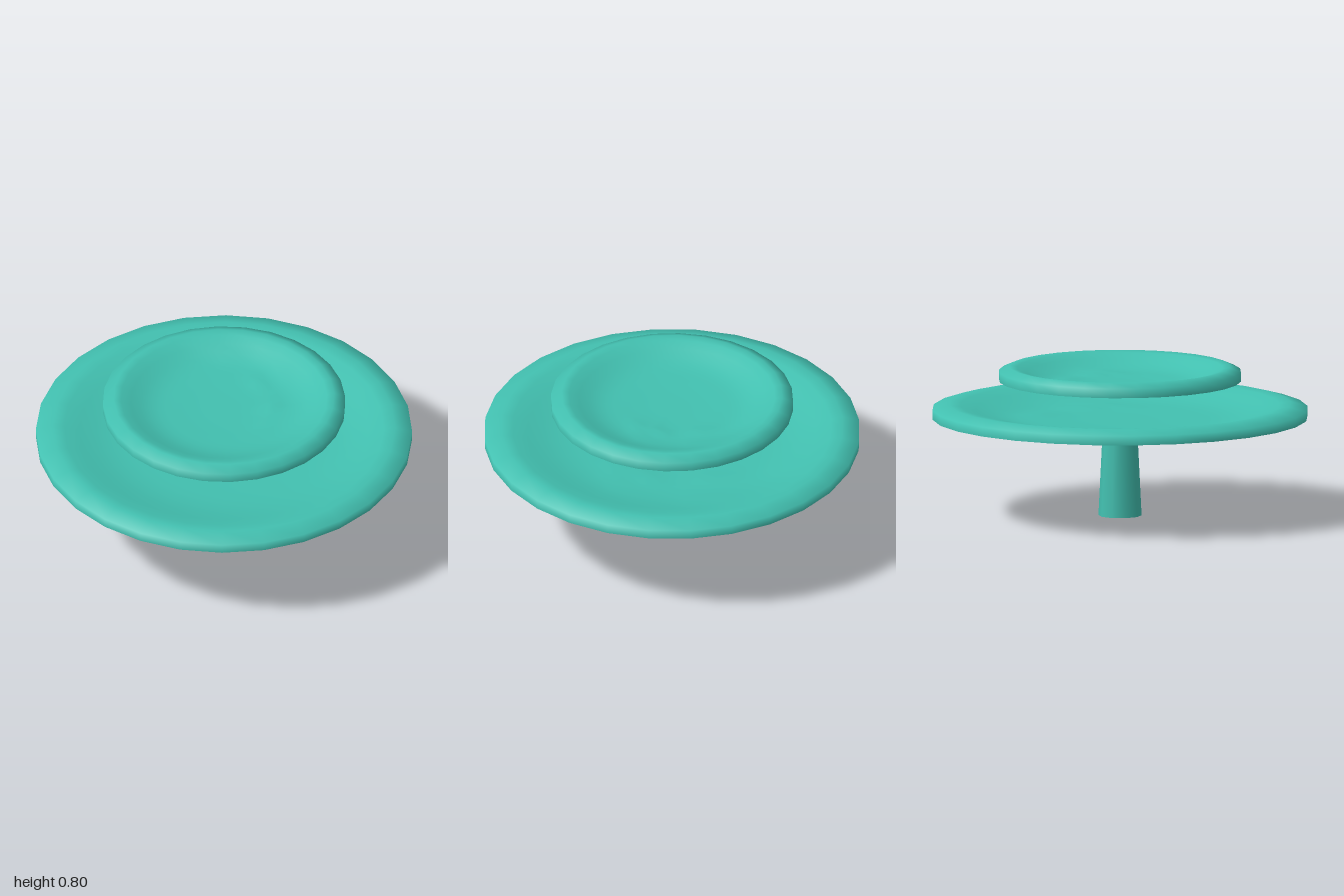
import * as THREE from 'three';
import { mergeVertices } from 'three/addons/utils/BufferGeometryUtils.js';

const material = new THREE.MeshStandardMaterial({ color: 0x42c0b0, side: THREE.DoubleSide });

// Plate cross-sections: radius, height above the base
// Upper face, from the foot of the outer wall over the rounded rim to the centre
const TOP = [
  [1, 0.04], [1, 0.09], [0.91, 0.115], [0.85, 0.107], [0.77, 0.085], [0.69, 0.063], [0.61, 0.048],
  [0.54, 0.041], [0.48, 0.038], [0.42, 0.036], [0.36, 0.034], [0.3, 0.032], [0.2, 0.03], [0.1, 0.03], [0, 0.03],
];
// Underside, from the centre out to the slightly hollow rim
const UNDERSIDE = [
  [0, 0.012], [0.12, 0.012], [0.3, 0.009], [0.38, 0.006], [0.46, 0.003], [0.58, 0], [0.63, 0.007],
  [0.7, 0.024], [0.76, 0.04], [0.87, 0.054], [0.96, 0.047], [1, 0.04],
];

// Soft ripples in the dish: x, z, height
const RIPPLES = [
  [0.45, -0.06, 0.01], [0.66, -0.04, 0.012], [0.3, 0.26, 0.012], [0.36, 0.4, 0.01], [0.15, 0.38, 0.008], [0.44, -0.58, 0.01],
];

function makeFace(name, profile, radius, base) {
  const points = profile.map(([r, y]) => new THREE.Vector2(r * radius, base + y));
  let geometry = new THREE.LatheGeometry(points, 28);
  const p = geometry.attributes.position;
  for (let i = 0; i < p.count; i++) {
    const x = p.getX(i) / radius, z = p.getZ(i) / radius;
    if (Math.hypot(x, z) > 0.8) continue;
    let lift = 0;
    for (const [rx, rz, height] of RIPPLES) {
      lift += height * Math.exp(-((x - rx) ** 2 + (z - rz) ** 2) / 0.005);
    }
    p.setY(i, p.getY(i) + lift);
  }
  // weld the seam so shading stays smooth all round
  geometry.deleteAttribute('uv');
  geometry.deleteAttribute('normal');
  geometry = mergeVertices(geometry, 1e-4);
  geometry.computeVertexNormals();
  const face = new THREE.Mesh(geometry, material);
  face.name = name;
  return face;
}

function makePlate(name, radius, base, turn) {
  const plate = new THREE.Group();
  plate.name = name;
  plate.add(makeFace('dish', TOP, radius, base), makeFace('underside', UNDERSIDE, radius, base));
  plate.rotation.y = turn;
  return plate;
}

export function createModel() {
  const model = new THREE.Group();
  model.name = 'tieredStand';

  // Tapered pedestal
  const stem = new THREE.Mesh(new THREE.CylinderGeometry(0.09, 0.115, 0.505, 10), material);
  stem.name = 'stem';
  stem.position.y = 0.2525;
  model.add(stem);

  // Large plate on the stem, smaller one hovering above it
  model.add(makePlate('lowerPlate', 1, 0.485, 0));
  model.add(makePlate('upperPlate', 0.645, 0.685, 0.065));
  return model;
}
